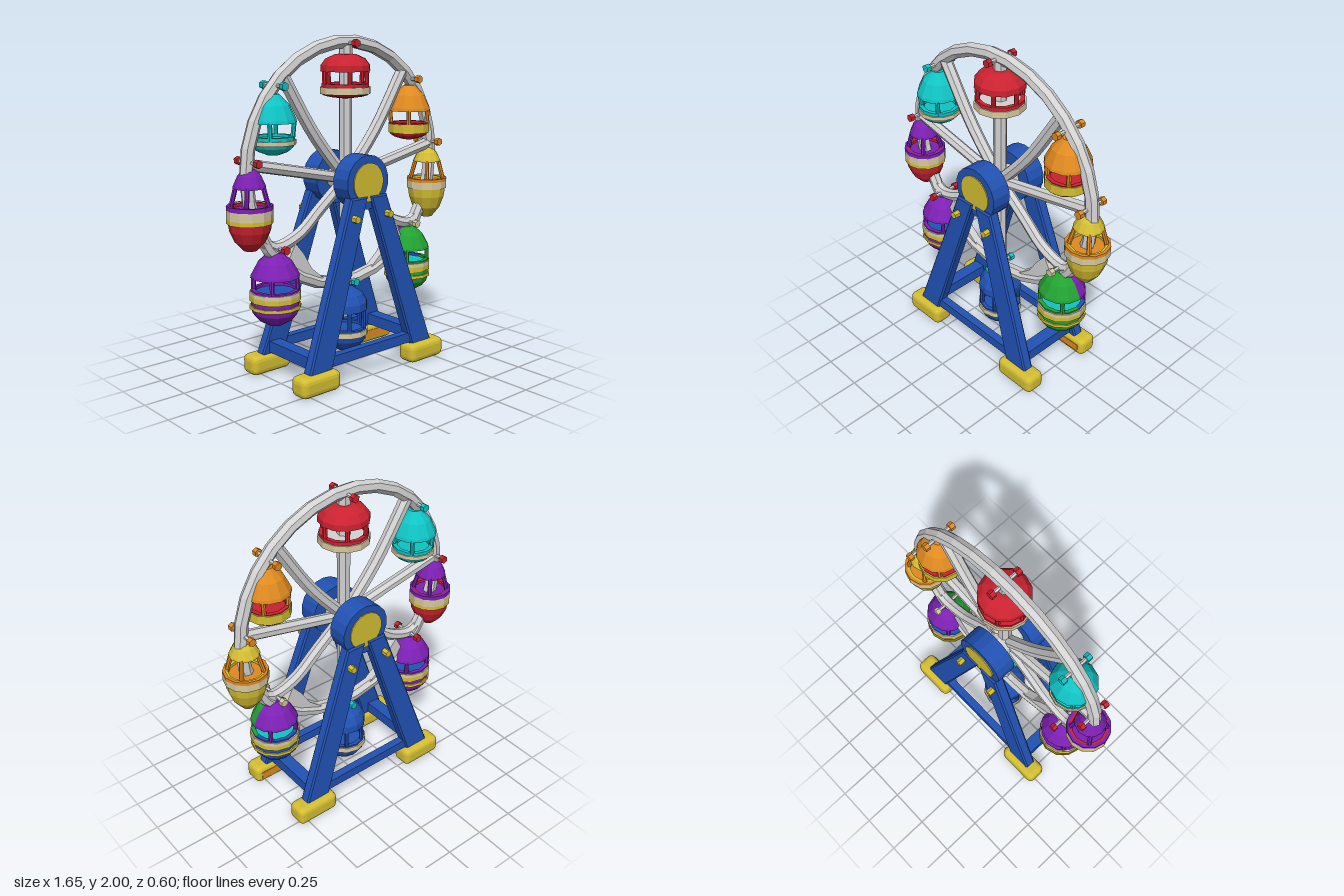
import * as THREE from 'three';
import { RoundedBoxGeometry } from 'three/addons/geometries/RoundedBoxGeometry.js';

const palette = {
  paleGrey: 0xd2d2d2, blue: 0x2152b4, yellow: 0xd4be32, red: 0xcb2230, orange: 0xe08a20,
  cyan: 0x10c4c4, purple: 0x7d20b4, green: 0x22a232, beige: 0xd6c9a0,
};
const mats = {};

// faceted mesh with flat normals
function part(name, geo, color, parent, pos = [0, 0, 0]) {
  const g = geo.index ? geo.toNonIndexed() : geo;
  g.computeVertexNormals();
  const m = new THREE.Mesh(g, mats[color]);
  m.name = name;
  m.position.set(...pos);
  parent.add(m);
  return m;
}

const v2 = (pts) => pts.map(([x, y]) => new THREE.Vector2(Math.max(x, 0), y));
const tube = (pts, r) => new THREE.TubeGeometry(
  new THREE.CatmullRomCurve3(pts.map(([x, y, z = 0]) => new THREE.Vector3(x, y, z))), pts.length * 3, r, 7, false);
const extrude = (pts, depth, bevel = 0) => new THREE.ExtrudeGeometry(new THREE.Shape(v2Raw(pts)),
  { depth, bevelEnabled: bevel > 0, bevelSize: bevel, bevelThickness: bevel, bevelOffset: -bevel, bevelSegments: 1 });
const v2Raw = (pts) => pts.map(([x, y]) => new THREE.Vector2(x, y));
// cylinder lying along z
const disc = (r, depth, n) => new THREE.CylinderGeometry(r, r, depth, n).rotateX(Math.PI / 2);

// roof outlines as fractions of eave radius and roof height
const CONE = [[1, 0], [0.97, 0.12], [0.7, 0.6], [0.28, 0.97], [0, 1]];
const DOME = [[1, 0], [0.99, 0.35], [0.8, 0.72], [0.42, 0.97], [0, 1]];

const cabins = [
  { x: 0, tip: 1.89, eave: 1.79, eaveR: 0.148, sill: 1.72, bottom: 1.635, R: 0.15, shape: DOME, posts: 6,
    roof: 'red', post: 'red', bowl: 'red', floor: 'paleGrey', bands: [['beige', 1.66, 1.7]], bolt: ['red', 0, 1.95] },
  { x: -0.53, tip: 1.69, eave: 1.53, eaveR: 0.135, sill: 1.455, bottom: 1.35, R: 0.13, shape: CONE, posts: 4,
    roof: 'cyan', post: 'cyan', bowl: 'cyan', floor: 'cyan', bands: [['beige', 1.41, 1.435]], bolt: ['cyan', -0.52, 1.73] },
  { x: 0.525, tip: 1.69, eave: 1.53, eaveR: 0.135, sill: 1.455, bottom: 1.35, R: 0.13, shape: CONE, posts: 4,
    roof: 'orange', post: 'orange', bowl: 'red', floor: 'red', bands: [['yellow', 1.395, 1.45]], bolt: ['orange', 0.515, 1.725] },
  { x: -0.695, tip: 1.3, eave: 1.185, eaveR: 0.092, sill: 1.085, bottom: 0.83, R: 0.13, shape: CONE, posts: 4,
    roof: 'purple', post: 'purple', bowl: 'red', floor: 'purple',
    bands: [['purple', 1.065, 1.09], ['beige', 1.015, 1.065], ['yellow', 0.99, 1.015]], bolt: ['red', -0.7, 1.325] },
  { x: 0.695, tip: 1.29, eave: 1.195, eaveR: 0.088, sill: 1.085, bottom: 0.83, R: 0.13, shape: CONE, posts: 4,
    roof: 'yellow', post: 'orange', bowl: 'yellow', floor: 'orange',
    bands: [['orange', 1.07, 1.09], ['beige', 1.025, 1.07]], bolt: ['orange', 0.7, 1.325] },
  { x: -0.53, tip: 0.8, eave: 0.655, eaveR: 0.142, sill: 0.585, bottom: 0.37, R: 0.148, shape: CONE, posts: 4,
    roof: 'purple', post: 'purple', bowl: 'purple', floor: 'blue',
    bands: [['beige', 0.55, 0.575], ['yellow', 0.52, 0.55], ['yellow', 0.475, 0.495]], bolt: ['red', -0.52, 0.82] },
  { x: 0.525, tip: 0.8, eave: 0.655, eaveR: 0.142, sill: 0.585, bottom: 0.37, R: 0.148, shape: CONE, posts: 4,
    roof: 'green', post: 'green', bowl: 'green', floor: 'cyan', backRoof: 'purple', backBowl: 'blue',
    bands: [['beige', 0.55, 0.575], ['yellow', 0.52, 0.55], ['yellow', 0.475, 0.495]], bolt: ['beige', 0.515, 0.82] },
  { x: 0, tip: 0.49, eave: 0.355, eaveR: 0.135, sill: 0.245, bottom: 0.09, R: 0.14, shape: DOME, posts: 6,
    roof: 'blue', post: 'blue', bowl: 'blue', floor: 'blue', bands: [['beige', 0.2, 0.235]], bolt: ['cyan', 0, 0.54] },
];

function buildCabin(c, parent) {
  const g = new THREE.Group();
  g.name = 'cabin';
  g.position.x = c.x;
  parent.add(g);
  const roofPts = [[0, c.eave], ...c.shape.map(([r, h]) => [r * c.eaveR, c.eave + h * (c.tip - c.eave)])];
  const straight = c.bands[c.bands.length - 1][1], drop = straight - c.bottom, r = c.R - 0.008;
  const bowlPts = [[0, c.bottom], [0.32 * r, c.bottom + 0.03 * drop], [0.72 * r, c.bottom + 0.35 * drop],
    [0.94 * r, c.bottom + 0.72 * drop], [r, straight], [r, c.sill], [r - 0.025, c.sill], [r - 0.025, c.sill - 0.02]];
  // front and back halves, which may differ in colour
  for (const back of [false, true]) {
    const half = (pts) => new THREE.LatheGeometry(v2(pts), 6, back ? Math.PI / 2 : -Math.PI / 2, Math.PI);
    part('cabinRoof', half(roofPts), (back && c.backRoof) || c.roof, g);
    part('cabinBowl', half(bowlPts), (back && c.backBowl) || c.bowl, g);
  }
  part('cabinFloor', new THREE.CylinderGeometry(r - 0.01, r - 0.01, 0.008, 12), c.floor, g, [0, c.sill - 0.02, 0]);
  for (const [color, y0, y1] of c.bands) {
    const ring = [[r - 0.01, y0], [c.R, y0], [c.R, y1], [r - 0.01, y1]];
    part('cabinBand', new THREE.LatheGeometry(v2(ring), 12), color, g);
  }
  for (let i = 0; i < c.posts; i++) {
    const a = (i / c.posts) * Math.PI * 2 + (c.posts === 4 ? Math.PI / 4 : 0);
    const at = (rad, y) => [Math.cos(a) * rad, y, Math.sin(a) * rad];
    const post = tube([at(c.R - 0.022, c.sill - 0.02), at(c.eaveR - 0.017, c.eave + 0.008)], 0.014);
    part('cabinPost', post, c.backRoof && Math.sin(a) < 0 ? c.backRoof : c.post, g);
  }
  // bolts holding the cabin on both sides of the rim
  const [color, bx, by] = c.bolt;
  for (const s of [1, -1]) {
    part('cabinBolt', disc(0.024, 0.03, 6), color, parent, [bx, by, s * 0.09]);
    part('boltShaft', disc(0.012, 0.08, 6), 'paleGrey', parent, [bx, by, s * 0.045]);
  }
}

function buildWheel(parent) {
  const wheel = new THREE.Group();
  wheel.name = 'wheel';
  parent.add(wheel);
  part('rim', new THREE.TorusGeometry(0.715, 0.04, 7, 30), 'paleGrey', wheel, [0, 1.245, 0]);
  part('axle', disc(0.08, 0.2, 12), 'paleGrey', wheel, [0, 1.16, 0]);
  part('verticalSpoke', tube([[0, 0.52], [0, 1.16], [0, 1.94]], 0.04), 'paleGrey', wheel);
  for (const s of [1, -1]) {
    part('upperSpoke', tube([[0, 1.16], [s * 0.24, 1.44], [s * 0.46, 1.78]], 0.038), 'paleGrey', wheel);
    part('sideSpoke', tube([[0, 1.16], [s * 0.35, 1.235], [s * 0.7, 1.31]], 0.035), 'paleGrey', wheel);
    part('lowerSpoke', tube([[0, 1.16], [s * 0.2, 1.0], [s * 0.36, 0.87], [s * 0.53, 0.82], [s * 0.62, 0.87]], 0.036), 'paleGrey', wheel);
    // filled corner between lower spoke and rim
    const web = [[0.4, 0.83], [0.47, 0.7], [0.36, 0.61], [0.16, 0.56], [0.28, 0.66], [0.34, 0.76]];
    part('rimWeb', extrude(web.map(([x, y]) => [s * x, y]), 0.05), 'paleGrey', wheel, [0, 0, -0.025]);
  }
}

// one A-frame tower on the +z side
function buildTower(parent, rotY) {
  const t = new THREE.Group();
  t.name = 'tower';
  t.rotation.y = rotY;
  parent.add(t);
  part('towerHub', disc(0.16, 0.125, 18), 'blue', t, [0, 1.16, 0.138]);
  part('hubCap', disc(0.115, 0.008, 18), 'yellow', t, [0, 1.16, 0.203]);
  for (const s of [1, -1]) {
    const outline = [[0.5, 0.08], [0.33, 0.08], [0.01, 1.08], [0.14, 1.08]].map(([x, y]) => [s * x, y]);
    const leg = extrude(outline, 0.05, 0.01);
    const p = leg.attributes.position;
    for (let i = 0; i < p.count; i++) p.setZ(i, p.getZ(i) + 0.155 + 0.045 * (1.1 - p.getY(i)));
    part('leg', leg, 'blue', t);
    part('foot', new RoundedBoxGeometry(0.28, 0.12, 0.13, 2, 0.035), 'yellow', t, [s * 0.425, 0.06, 0.235]);
    part('legStud', disc(0.022, 0.06, 6), 'yellow', t, [s * 0.13, 0.965, 0.23]);
  }
  part('frontCrossbar', new THREE.BoxGeometry(0.74, 0.06, 0.05), 'blue', t, [0, 0.16, 0.225]);
}

export function createModel() {
  for (const [name, color] of Object.entries(palette)) {
    mats[name] = new THREE.MeshStandardMaterial({ color });
    mats[name].name = name;
  }
  const model = new THREE.Group();
  model.name = 'ferrisWheel';
  buildTower(model, 0);
  buildTower(model, Math.PI);
  for (const s of [1, -1]) {
    part('sideCrossbar', new THREE.BoxGeometry(0.08, 0.07, 0.4), 'blue', model, [s * 0.4, 0.16, 0]);
    // orange inner faces of the feet on the left side
    part('footInnerFace', new THREE.BoxGeometry(0.21, 0.05, 0.006), 'orange', model, [0.425, 0.06, s * 0.169]);
  }
  part('footSole', new THREE.BoxGeometry(0.21, 0.004, 0.06), 'orange', model, [0.425, 0.002, 0.235]);
  buildWheel(model);
  cabins.forEach((c) => buildCabin(c, model));
  return model;
}
